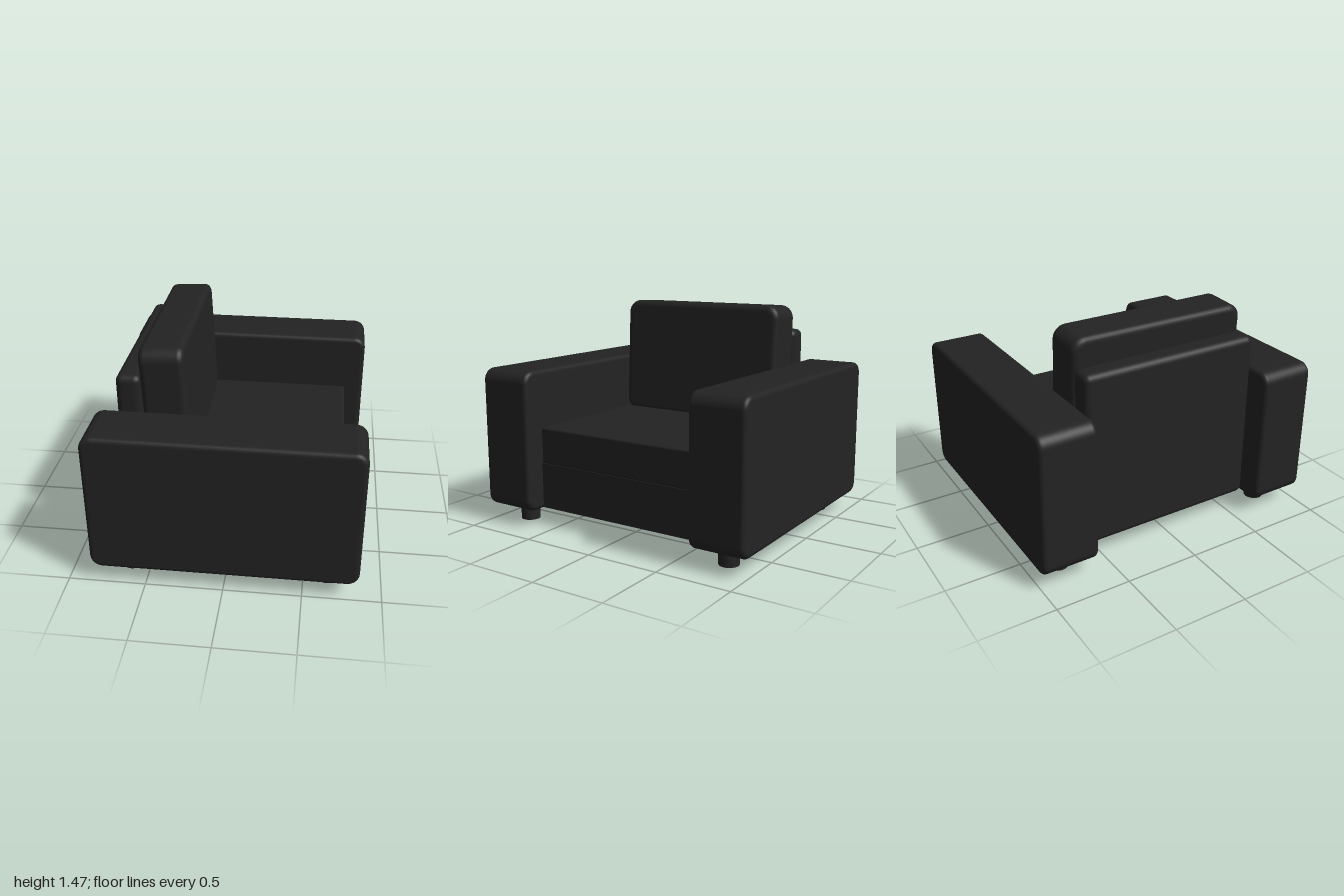
import * as THREE from 'three';
import { mergeVertices } from 'three/addons/utils/BufferGeometryUtils.js';
import { RoundedBoxGeometry } from 'three/addons/geometries/RoundedBoxGeometry.js';

// Upholstered slab: w by h outline with corner radius r, d thick along z, soft rim of size b (b < r)
function slabGeometry(w, h, d, r, b) {
  const x = w / 2 - b, y = h / 2 - b, c = r - b;
  const s = new THREE.Shape();
  s.absarc(x - c, y - c, c, 0, Math.PI / 2);
  s.absarc(-x + c, y - c, c, Math.PI / 2, Math.PI);
  s.absarc(-x + c, -y + c, c, Math.PI, Math.PI * 1.5);
  s.absarc(x - c, -y + c, c, Math.PI * 1.5, Math.PI * 2);
  s.closePath();
  const raw = new THREE.ExtrudeGeometry(s, {
    depth: d - 2 * b, bevelEnabled: true, bevelSize: b, bevelThickness: b,
    bevelSegments: 5, curveSegments: 8,
  });
  raw.translate(0, 0, -(d / 2 - b));
  raw.deleteAttribute('uv');
  raw.deleteAttribute('normal');
  const geometry = mergeVertices(raw, 1e-4);
  geometry.computeVertexNormals();
  return geometry;
}

export function createModel() {
  const chair = new THREE.Group();
  chair.name = 'armchair';
  const leather = new THREE.MeshStandardMaterial({ color: 0x232323 });
  leather.name = 'black leather';

  const add = (name, geometry, x, y, z) => {
    const mesh = new THREE.Mesh(geometry, leather);
    mesh.name = name;
    mesh.position.set(x, y, z);
    chair.add(mesh);
    return mesh;
  };
  // Rounded box given by its limits in x and y
  const block = (name, x0, x1, y0, y1, depth, r) =>
    add(name, new RoundedBoxGeometry(x1 - x0, y1 - y0, depth, 4, r), (x0 + x1) / 2, (y0 + y1) / 2, 0);

  // Seat, facing +x
  add('seatBase', new THREE.BoxGeometry(1.28, 0.31, 1.235), 0.075, 0.275, 0);
  block('seatCushion', -0.56, 0.72, 0.43, 0.677, 1.23, 0.015);

  // Back panel and the cushion leaning on it
  block('backPanel', -0.705, -0.545, 0.12, 1.285, 1.238, 0.045);
  const cushion = slabGeometry(1.235, 0.82, 0.28, 0.09, 0.04);
  cushion.rotateY(Math.PI / 2);
  add('backCushion', cushion, -0.4, 1.055, 0).rotation.z = 0.05;

  // Arms and legs, mirrored in z
  const arm = slabGeometry(1.705, 0.95, 0.38, 0.08, 0.03);
  const leg = new THREE.CylinderGeometry(0.065, 0.065, 0.13, 24);
  for (const side of [1, -1]) {
    const label = side > 0 ? 'Near' : 'Far';
    add('arm' + label, arm, 0, 0.585, side * 0.81);
    add('backLeg' + label, leg, -0.625, 0.065, side * 0.795);
    add('frontLeg' + label, leg, 0.655, 0.065, side * 0.795);
  }
  return chair;
}
